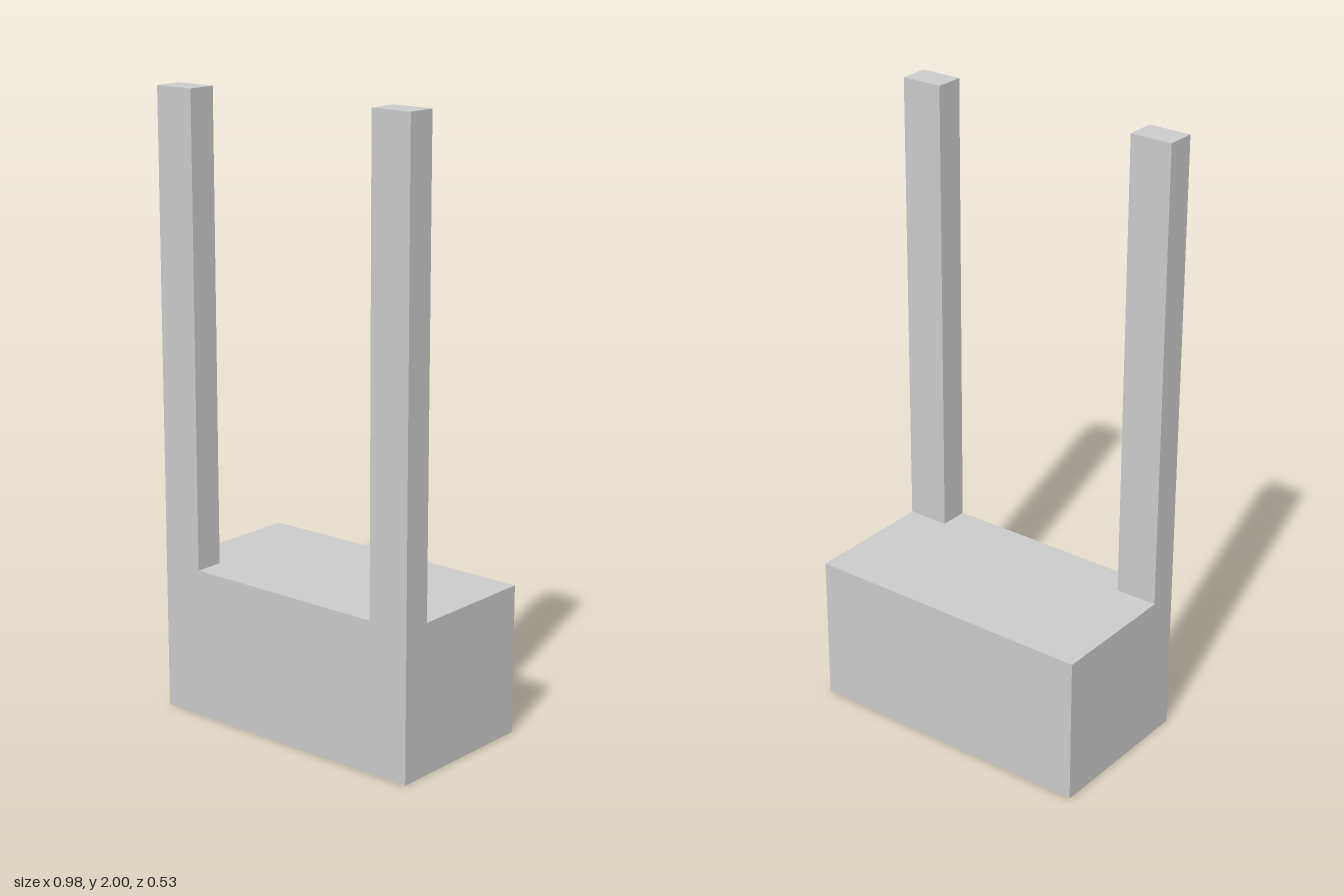
import * as THREE from 'three';

const WIDTH = 0.98, DEPTH = 0.534, BASE_HEIGHT = 0.487, HEIGHT = 2;
const POST_WIDTH = 0.14, POST_DEPTH = 0.096;

export function createModel() {
  const group = new THREE.Group();
  const material = new THREE.MeshStandardMaterial({ color: 0xcccccc });

  // Box whose underside rests at height y
  const addBox = (name, w, h, d, x, y, z) => {
    const mesh = new THREE.Mesh(new THREE.BoxGeometry(w, h, d), material);
    mesh.name = name;
    mesh.position.set(x, y + h / 2, z);
    group.add(mesh);
  };

  // Solid base block
  addBox('base', WIDTH, BASE_HEIGHT, DEPTH, 0, 0, 0);

  // Two tall posts, flush with the front corners of the base
  for (const [name, side] of [['leftPost', 1], ['rightPost', -1]]) {
    addBox(name, POST_WIDTH, HEIGHT - BASE_HEIGHT, POST_DEPTH,
      side * (WIDTH - POST_WIDTH) / 2, BASE_HEIGHT, (DEPTH - POST_DEPTH) / 2);
  }

  return group;
}
